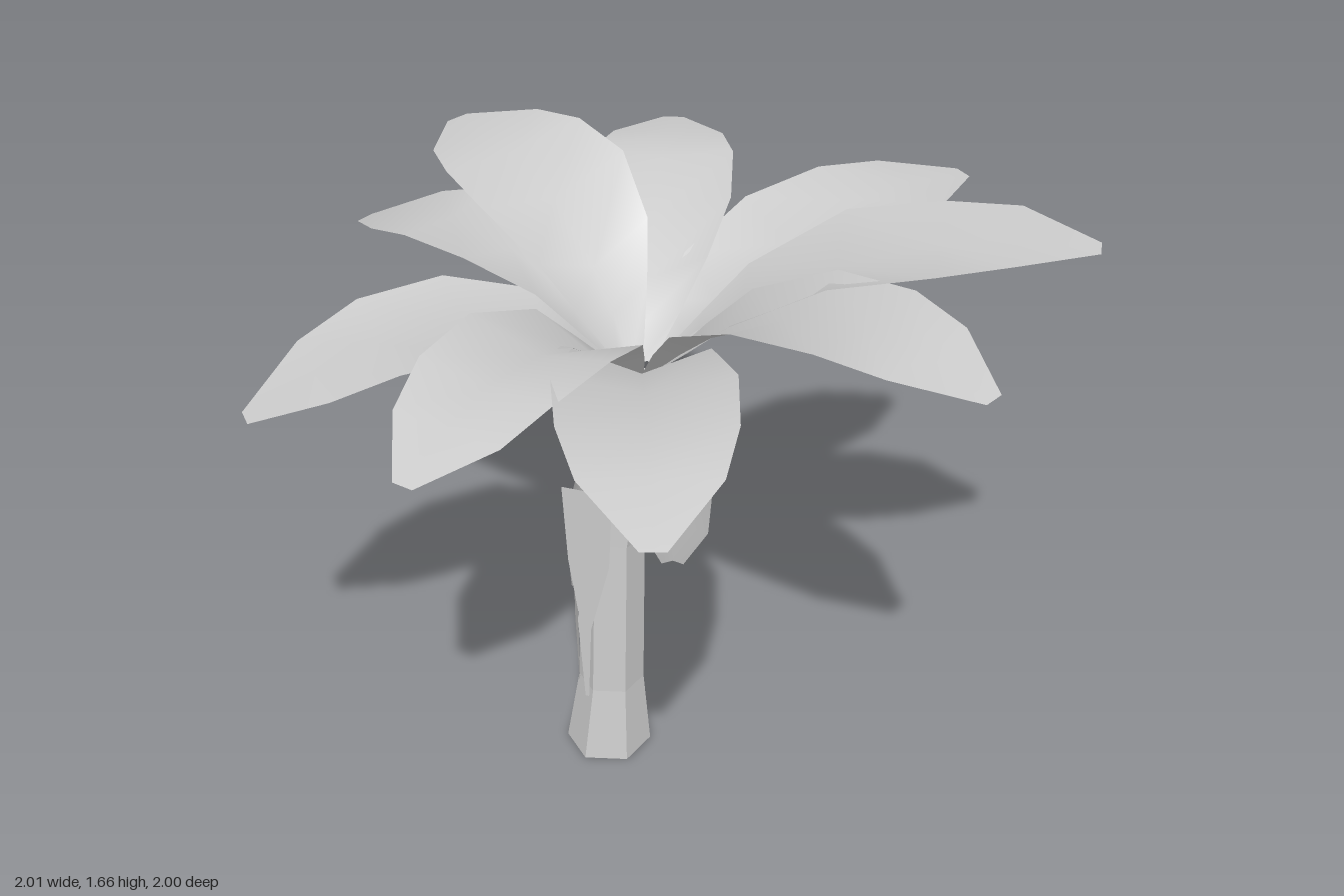
import * as THREE from 'three';

const plantGrey = new THREE.MeshStandardMaterial({ color: 0xcccccc, side: THREE.DoubleSide });
plantGrey.name = 'plantGrey';

// Creased ribbon along a spine: three vertices per station (edge, midrib, edge).
// side is [x, y, z] across the ribbon; lifts move both edges off the midrib.
function ribbon(name, spine, side, halfWidths, lifts) {
  const pos = [], index = [];
  spine.forEach(([x, y, z], i) => {
    const w = halfWidths[i];
    for (const k of [-1, 0, 1]) {
      const e = Math.abs(k);
      pos.push(x + side[0] * w * k + lifts[i][0] * e,
        y + side[1] * w * k + lifts[i][1] * e,
        z + side[2] * w * k + lifts[i][2] * e);
    }
    if (i === 0) return;
    for (let k = 0; k < 2; k++) {
      const a = (i - 1) * 3 + k, b = a + 3;
      index.push(a, a + 1, b, a + 1, b + 1, b);
    }
  });
  const g = new THREE.BufferGeometry();
  g.setAttribute('position', new THREE.Float32BufferAttribute(pos, 3));
  g.setIndex(index);
  g.computeVertexNormals();
  const mesh = new THREE.Mesh(g, plantGrey);
  mesh.name = name;
  return mesh;
}

// Crown leaf: troughed at the base, arching outward, optionally rolled to one side
const STATIONS = [0, 0.1, 0.2, 0.42, 0.65, 0.82, 1];
const LEAF_WIDTH = [0.035, 0.1, 0.155, 0.2, 0.19, 0.15, 0.028];
const LEAF_LIFT = [0.01, 0.045, 0.07, 0.05, 0.02, 0, 0];
function crownLeaf(tipX, tipZ, heights, widthScale, roll) {
  const cx = -0.09, cz = -0.09, start = 0.035;
  const len = Math.hypot(tipX - cx, tipZ - cz);
  const dx = (tipX - cx) / len, dz = (tipZ - cz) / len;
  const spine = STATIONS.map((s, i) => {
    const r = start + s * (len - start);
    return [cx + dx * r, heights[i], cz + dz * r];
  });
  return ribbon('crownLeaf', spine, [dz, -roll, -dx],
    LEAF_WIDTH.map(w => w * widthScale), LEAF_LIFT.map(l => [0, l, 0]));
}

// Dead leaf hanging beside the trunk, edges folded back toward it
function hangingLeaf(spine, side, widths, fold) {
  return ribbon('hangingLeaf', spine, side, widths,
    widths.map(w => [-side[2] * fold * w, 0, side[0] * fold * w]));
}

// Peeling strip of bark
function barkStrip(spine, side, widths) {
  return ribbon('barkStrip', spine, side, widths, spine.map(() => [0, 0, 0]));
}

function makeTrunk() {
  // height, centre x, radius
  const rings = [[0, -0.185, 0.115], [0.22, -0.175, 0.088], [0.7, -0.164, 0.084],
    [1.0, -0.122, 0.083], [1.16, -0.085, 0.084]];
  const n = rings.length - 1;
  const g = new THREE.CylinderGeometry(1, 1, 1, 6, n, false, Math.PI / 2).toNonIndexed();
  const p = g.attributes.position;
  for (let i = 0; i < p.count; i++) {
    const [y, cx, r] = rings[Math.round((p.getY(i) + 0.5) * n)];
    p.setXYZ(i, cx + p.getX(i) * r, y, -0.09 + p.getZ(i) * r);
  }
  g.computeVertexNormals();
  const mesh = new THREE.Mesh(g, plantGrey);
  mesh.name = 'trunk';
  return mesh;
}

export function createModel() {
  const group = new THREE.Group();
  group.name = 'broadLeafPlant';
  group.add(makeTrunk());

  // Crown: tip x, tip z, midrib heights, width scale, roll
  const leaves = [
    [-0.06, -1.0, [1.2, 1.27, 1.34, 1.43, 1.49, 1.49, 1.46], 0.98, 0.02],
    [0.72, -0.67, [1.2, 1.27, 1.33, 1.43, 1.49, 1.5, 1.48], 0.95, 0],
    [1.0, 0.04, [1.2, 1.28, 1.37, 1.54, 1.62, 1.665, 1.65], 1.02, 0],
    [0.73, 0.59, [1.2, 1.3, 1.39, 1.53, 1.6, 1.61, 1.57], 0.95, -0.03],
    [0.02, 1.0, [1.2, 1.27, 1.34, 1.43, 1.48, 1.48, 1.43], 1.07, 0.02],
    [-0.55, 0.72, [1.2, 1.28, 1.36, 1.45, 1.47, 1.44, 1.38], 1.0, 0],
    [-0.99, 0.33, [1.2, 1.27, 1.33, 1.405, 1.42, 1.38, 1.29], 1.0, 0],
    [-0.615, -0.72, [1.2, 1.31, 1.41, 1.53, 1.585, 1.595, 1.575], 1.07, 0.08],
    [-0.85, -0.55, [1.2, 1.27, 1.34, 1.42, 1.45, 1.43, 1.36], 0.95, -0.05],
  ];
  for (const l of leaves) group.add(crownLeaf(...l));

  // Hanging dead leaves at the back
  group.add(hangingLeaf([[-0.06, 1.14, -0.14], [-0.02, 1.0, -0.2], [-0.01, 0.8, -0.25],
    [-0.01, 0.6, -0.28], [-0.02, 0.45, -0.31]], [1, 0, 0], [0.03, 0.085, 0.105, 0.09, 0.03], 0.5));
  group.add(hangingLeaf([[-0.14, 1.13, -0.11], [-0.21, 1.0, -0.13], [-0.25, 0.8, -0.145],
    [-0.26, 0.63, -0.145], [-0.275, 0.49, -0.14]], [0.4, 0, -0.9], [0.02, 0.07, 0.09, 0.08, 0.02], 0.15));
  group.add(hangingLeaf([[-0.07, 1.12, -0.15], [-0.07, 0.95, -0.23], [-0.07, 0.75, -0.28],
    [-0.07, 0.59, -0.3]], [0.85, 0, -0.3], [0.015, 0.05, 0.05, 0.012], 0.3));

  // Bark peeling off the front, left flank and back
  group.add(barkStrip([[-0.222, 0.88, -0.008], [-0.222, 0.65, -0.01], [-0.235, 0.4, -0.02]],
    [1, 0, 0.28], [0.067, 0.055, 0.008]));
  group.add(barkStrip([[-0.235, 0.69, -0.01], [-0.237, 0.45, -0.015], [-0.235, 0.2, -0.016]],
    [1, 0, 0.3], [0.01, 0.018, 0.005]));
  group.add(barkStrip([[-0.265, 0.7, -0.09], [-0.265, 0.45, -0.08], [-0.26, 0.22, -0.07]],
    [0, 0, 1], [0.05, 0.035, 0.008]));
  group.add(barkStrip([[-0.15, 0.74, -0.18], [-0.155, 0.5, -0.176], [-0.17, 0.2, -0.17]],
    [0.9, 0, -0.4], [0.06, 0.04, 0.008]));
  return group;
}
